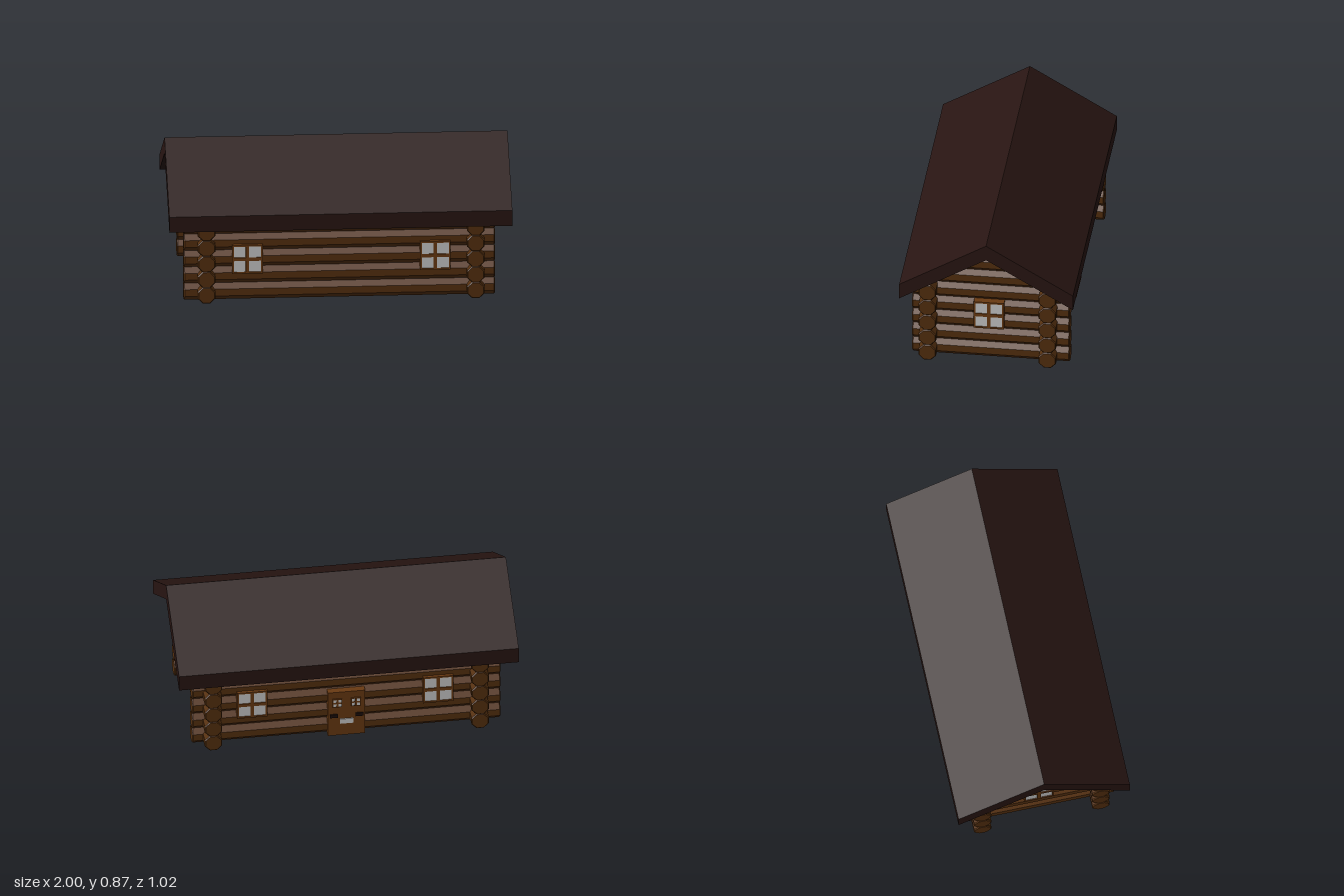
import * as THREE from 'three';

const mat = (color, extra = {}) => new THREE.MeshStandardMaterial({ color, flatShading: true, ...extra });
const WOOD = mat(0x55300f), TRIM = mat(0x6a3a12), ROOF = mat(0x281512), GLASS = mat(0xcccccc), IRON = mat(0x1c0f0a);

const WALL_X = 0.785, WALL_Z = 0.352, R = 0.0512; // wall centre lines, log half height

function add(parent, name, geometry, material, x = 0, y = 0, z = 0) {
  const m = new THREE.Mesh(geometry, material);
  m.name = name;
  m.position.set(x, y, z);
  parent.add(m);
  return m;
}

// Eight-sided log along y with small chamfers on both ends
function logGeometry(length) {
  const r = R / Math.cos(Math.PI / 8), h = length / 2, c = 0.006;
  const pts = [[0, -h], [r - c, -h], [r, -h + c], [r, h - c], [r - c, h], [0, h]];
  const g = new THREE.LatheGeometry(pts.map(p => new THREE.Vector2(...p)), 8);
  return g.rotateY(Math.PI / 8);
}

// Square frame with four panes, facing +z, its back at z = 0
function windowUnit(size, depth, border, bar) {
  const g = new THREE.Group();
  g.name = 'window';
  const h = size / 2, pane = h - border - bar / 2, c = (pane + bar) / 2;
  const shape = new THREE.Shape([[-h, -h], [h, -h], [h, h], [-h, h]].map(p => new THREE.Vector2(...p)));
  for (const sx of [-1, 1]) for (const sy of [-1, 1]) {
    const q = pane / 2;
    shape.holes.push(new THREE.Path([[-q, -q], [-q, q], [q, q], [q, -q]]
      .map(([x, y]) => new THREE.Vector2(sx * c + x, sy * c + y))));
  }
  add(g, 'windowFrame', new THREE.ExtrudeGeometry(shape, { depth, bevelEnabled: false }), TRIM);
  const glassDepth = depth * 0.92;
  const inner = size - border;
  add(g, 'windowGlass', new THREE.BoxGeometry(inner, inner, glassDepth), GLASS, 0, 0, glassDepth / 2);
  return g;
}

function buildDoor() {
  const door = new THREE.Group();
  door.name = 'door';
  add(door, 'doorPanel', new THREE.BoxGeometry(0.22, 0.3, 0.07), TRIM, 0, 0.15, 0.035);
  for (const s of [-1, 1]) {
    const w = windowUnit(0.056, 0.008, 0.005, 0.01);
    w.name = 'doorWindow';
    w.position.set(s * 0.055, 0.228, 0.07);
    door.add(w);
    add(door, 'doorFitting', new THREE.BoxGeometry(0.045, 0.022, 0.012), IRON, s * 0.075, 0.138, 0.072);
  }
  add(door, 'letterSlot', new THREE.BoxGeometry(0.078, 0.032, 0.008), GLASS, 0, 0.098, 0.072);
  return door;
}

export function createModel() {
  const cabin = new THREE.Group();
  cabin.name = 'logCabin';

  // Long walls
  const longLog = logGeometry(1.815).rotateZ(Math.PI / 2);
  for (const s of [-1, 1]) for (let i = 0; i < 5; i++)
    add(cabin, 'longWallLog', longLog, WOOD, -0.003, R + i * 0.102, s * WALL_Z + 0.006);

  // End walls, shortening under the roof to close the gables
  for (let i = 0; i < 8; i++) {
    const y = R + i * 0.0975;
    const half = Math.min(0.4625, (0.815 - y) / 0.588);
    const geo = logGeometry(half * 2).rotateX(Math.PI / 2);
    for (const s of [-1, 1])
      add(cabin, i < 5 ? 'endWallLog' : 'gableLog', geo, WOOD, s * WALL_X + 0.005, y, i < 6 ? -0.007 : 0);
  }

  // Gabled roof slab
  const profile = [[-0.51, 0.47], [0, 0.772], [0.51, 0.47], [0.51, 0.566], [0, 0.868], [-0.51, 0.566]];
  const roof = new THREE.ExtrudeGeometry(new THREE.Shape(profile.map(p => new THREE.Vector2(...p))),
    { depth: 2, bevelEnabled: false });
  roof.translate(0, 0, -1).rotateY(Math.PI / 2);
  add(cabin, 'roof', roof, ROOF);

  // Windows: two on each long wall, one on each end
  const place = (unit, x, y, z, turn) => {
    unit.position.set(x, y, z);
    unit.rotation.y = turn;
    cabin.add(unit);
  };
  const makeWindow = () => windowUnit(0.178, 0.07, 0.01, 0.02);
  for (const s of [-1, 1]) {
    for (const x of [-0.54, 0.555])
      place(makeWindow(), x, 0.262, s * WALL_Z + 0.006, s > 0 ? 0 : Math.PI);
    place(makeWindow(), s * WALL_X + 0.005, 0.305, 0.002, s * Math.PI / 2);
  }

  // Door in the back wall
  place(buildDoor(), 0, 0, -WALL_Z + 0.006, Math.PI);

  return cabin;
}
